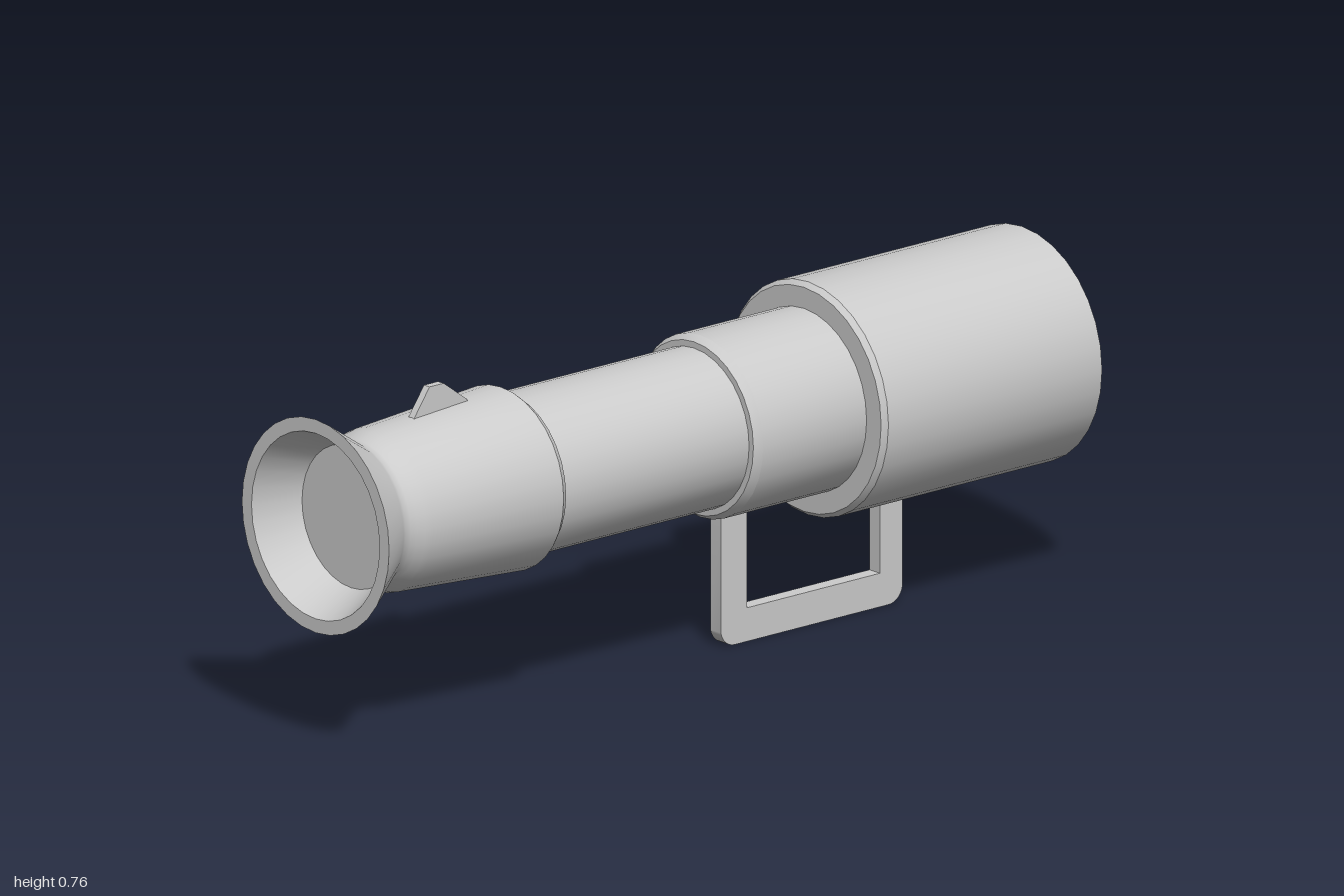
import * as THREE from 'three';
import { toCreasedNormals } from 'three/addons/utils/BufferGeometryUtils.js';

const material = new THREE.MeshStandardMaterial({ color: 0xcccccc });
const AXIS_Y = 0.5;

function add(group, name, geometry) {
  const mesh = new THREE.Mesh(toCreasedNormals(geometry, 0.5), material);
  mesh.name = name;
  group.add(mesh);
  return mesh;
}

// Side profile drawn in (z, y), extruded across x and centred on x = 0
function plate(shape, width) {
  return new THREE.ExtrudeGeometry(shape, { depth: width, bevelEnabled: false, curveSegments: 5 })
    .translate(0, 0, -width / 2)
    .rotateY(-Math.PI / 2);
}

// Turned part along z, from [radius, z] pairs running back to front
function turned(points) {
  return new THREE.LatheGeometry(points.map(([r, z]) => new THREE.Vector2(r, z)), 32)
    .rotateX(Math.PI / 2);
}

export function createModel() {
  const group = new THREE.Group();
  group.name = 'spyglass';

  // Wide rear barrel
  add(group, 'rearBarrel', turned([
    [0, -1], [0.26, -1], [0.26, -0.395], [0.25, -0.383], [0, -0.383],
  ])).position.y = AXIS_Y;

  // Middle barrel with chamfered collar, narrowing to the slim tube
  add(group, 'middleBarrel', turned([
    [0.203, -0.39], [0.203, -0.09], [0.192, -0.072], [0.178, -0.072], [0.178, 0.46],
  ])).position.y = AXIS_Y;

  // Tapered front section, flared cup and its recessed floor
  add(group, 'eyepiece', turned([
    [0.176, 0.455], [0.188, 0.455], [0.203, 0.475], [0.18, 0.825], [0.176, 0.842],
    [0.169, 0.86], [0.165, 0.875], [0.166, 0.89], [0.173, 0.902],
    [0.238, 1], [0.207, 1], [0.158, 0.9], [0, 0.9],
  ])).position.y = AXIS_Y;

  // Small sight on the tapered section
  const sight = new THREE.Shape();
  [[0.57, 0.685], [0.735, 0.675], [0.726, 0.69], [0.685, 0.748], [0.645, 0.748], [0.58, 0.7]]
    .forEach(([z, y], i) => (i ? sight.lineTo(z, y) : sight.moveTo(z, y)));
  add(group, 'sight', plate(sight, 0.018));

  // U-shaped handle with rounded lower corners
  const handle = new THREE.Shape();
  const r = 0.04, back = -0.648, front = -0.133;
  handle.moveTo(back, 0.235);
  handle.lineTo(back, r);
  handle.absarc(back + r, r, r, Math.PI, Math.PI * 1.5);
  handle.absarc(front - r, r, r, Math.PI * 1.5, Math.PI * 2);
  handle.lineTo(front, 0.3);
  handle.lineTo(-0.207, 0.3);
  handle.lineTo(-0.207, 0.075);
  handle.lineTo(-0.584, 0.075);
  handle.lineTo(-0.584, 0.235);
  add(group, 'handle', plate(handle, 0.034));

  return group;
}
